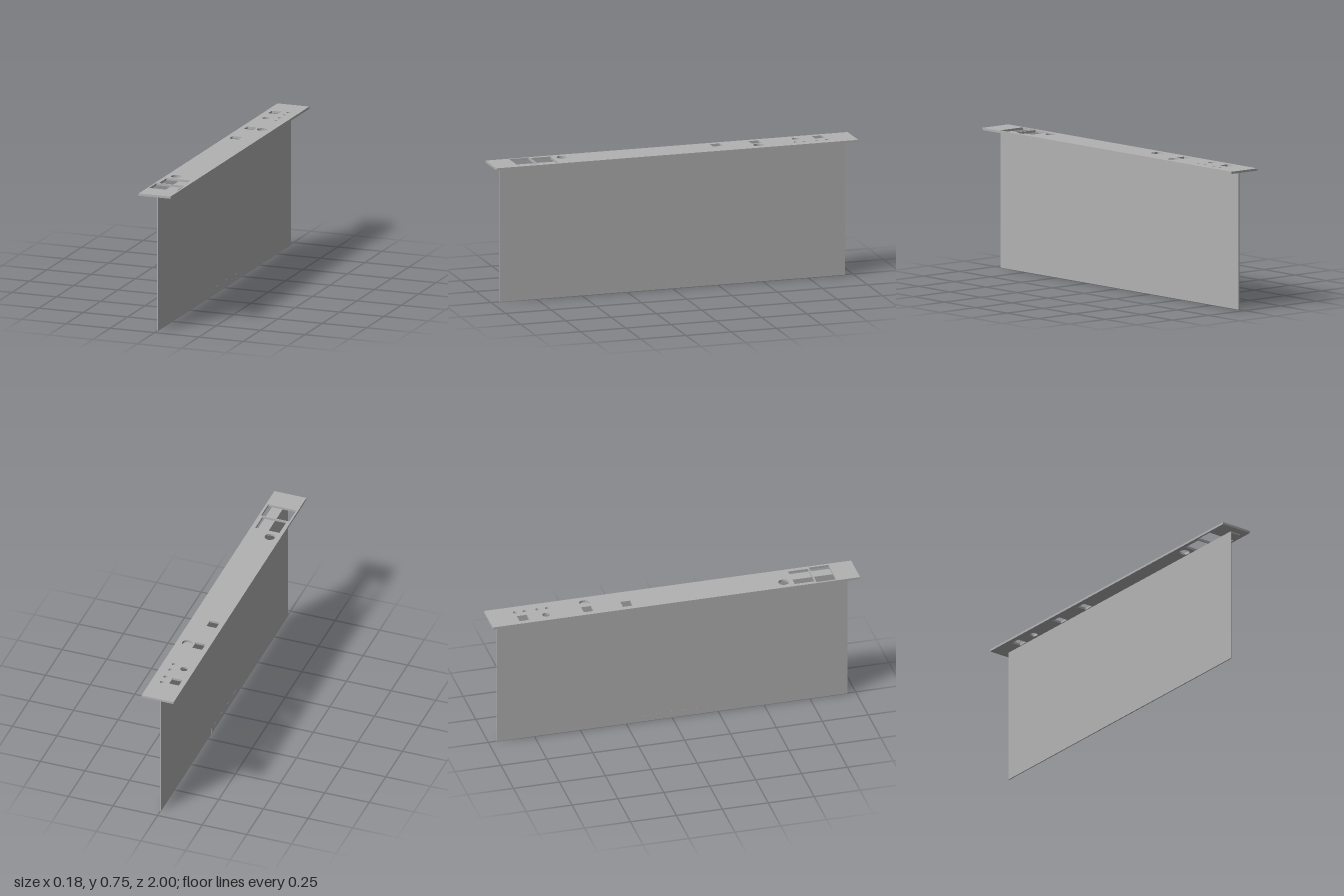
import * as THREE from 'three';

export function createModel() {
  const model = new THREE.Group();
  const grey = new THREE.MeshStandardMaterial({ color: 0xb2b2b2 });
  grey.name = 'plain grey';

  const TOP = 0.747, PLATE = 0.012, UNDER = TOP - PLATE;
  const HALF_LENGTH = 0.955, THICK = 0.006;

  const add = (name, geometry, x = 0, y = 0, z = 0) => {
    const mesh = new THREE.Mesh(geometry, grey);
    mesh.name = name;
    mesh.position.set(x, y, z);
    model.add(mesh);
  };

  // Rectangle and circle outlines; the shape's second axis becomes z
  const rect = (path, x0, x1, z0, z1) => {
    path.moveTo(x0, z0);
    path.lineTo(x1, z0);
    path.lineTo(x1, z1);
    path.lineTo(x0, z1);
    path.closePath();
    return path;
  };
  const circle = (x, z, r) => new THREE.Path().absarc(x, z, r, 0, Math.PI * 2, true);

  // Long top plate with its cut-outs
  const plate = rect(new THREE.Shape(), -0.09, 0.09, -1, 1);
  for (const z of [-0.82, -0.47, -0.257]) {
    plate.holes.push(rect(new THREE.Path(), -0.062, -0.008, z - 0.027, z + 0.027));
  }
  for (const z of [-0.847, -0.794, -0.725, -0.672]) plate.holes.push(circle(0.032, z, 0.01));
  plate.holes.push(
    circle(-0.035, -0.695, 0.02),
    circle(0.032, -0.468, 0.028),
    circle(-0.035, 0.598, 0.028),
    rect(new THREE.Path(), -0.069, 0.066, 0.65, 0.76),
    rect(new THREE.Path(), -0.08, 0.077, 0.766, 0.873),
  );
  const plateGeometry = new THREE.ExtrudeGeometry(plate, {
    depth: PLATE, bevelEnabled: false, curveSegments: 16,
  });
  plateGeometry.rotateX(Math.PI / 2);
  add('topPlate', plateGeometry, 0, TOP, 0);

  // Upright panel
  add('uprightPanel', new THREE.BoxGeometry(THICK, UNDER, HALF_LENGTH * 2), 0, UNDER / 2, 0);

  // Backing strip under one side of the plate
  const stripHeight = 0.008, stripWidth = 0.054;
  add('backingStrip', new THREE.BoxGeometry(stripWidth, stripHeight, HALF_LENGTH * 2),
    THICK / 2 + stripWidth / 2, UNDER - stripHeight / 2, 0);

  // Nearly flush insert in the middle of the panel's foot
  add('footInsert', new THREE.BoxGeometry(THICK + 0.0006, 0.035, 0.4), 0, 0.0175, 0);

  return model;
}
